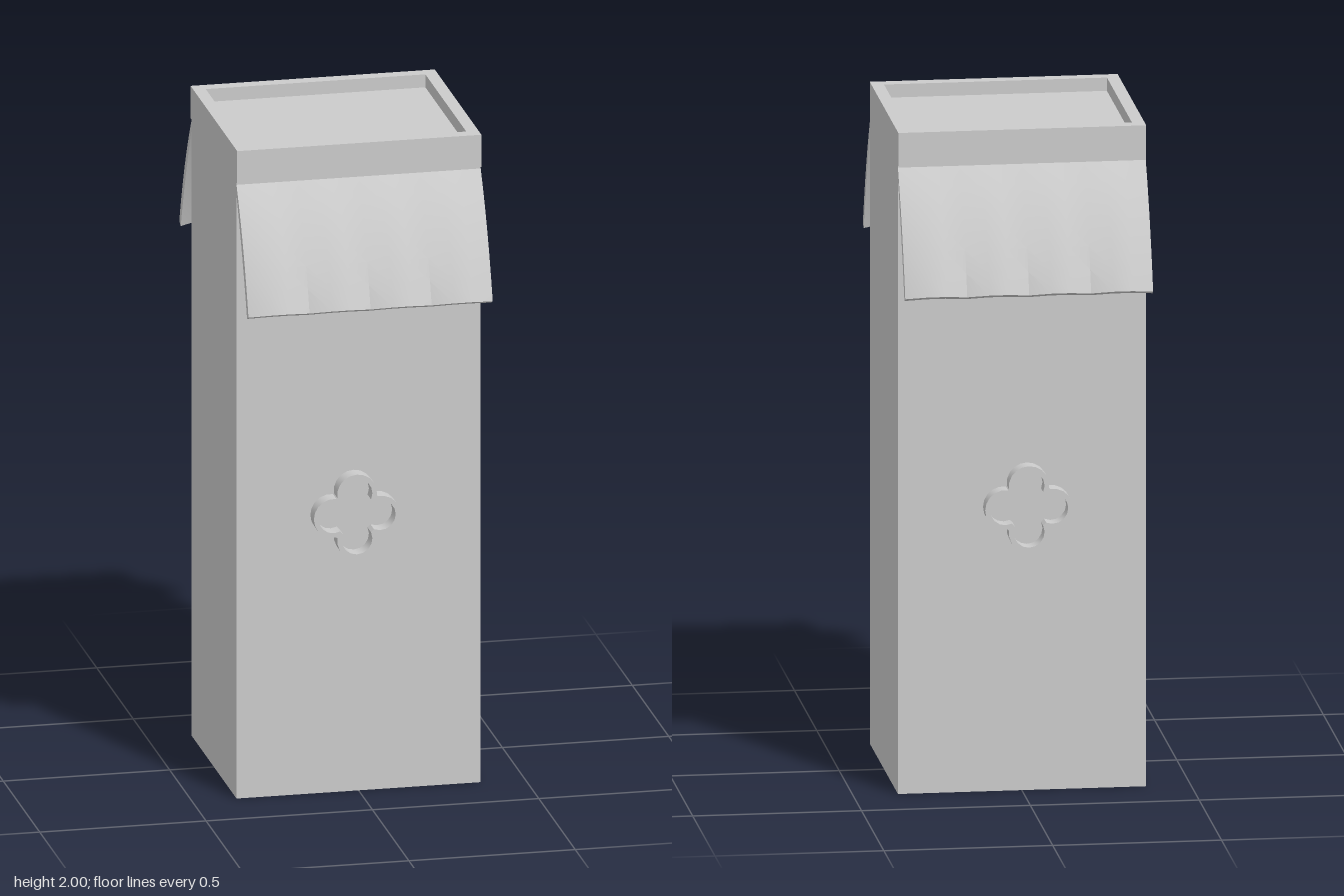
import * as THREE from 'three';
import { toCreasedNormals } from 'three/addons/utils/BufferGeometryUtils.js';

const W = 0.367, D = 0.31, RIM_D = 0.32, RIM_Y = 1.9;
const material = new THREE.MeshStandardMaterial({ color: 0xcccccc, side: THREE.DoubleSide });

function part(name, geometry) {
  const mesh = new THREE.Mesh(geometry, material);
  mesh.name = name;
  return mesh;
}

function rectangle(Type, x, y) {
  return new Type([[-x, -y], [x, -y], [x, y], [-x, y]].map((p) => new THREE.Vector2(...p)));
}

// Four thin walls, open at the bottom
function wallsGeometry() {
  const g = new THREE.CylinderGeometry(Math.SQRT2, Math.SQRT2, RIM_Y, 4, 1, true);
  g.rotateY(Math.PI / 4).scale(W, 1, D).translate(0, RIM_Y / 2, 0);
  const flat = g.toNonIndexed();
  flat.computeVertexNormals();
  return flat;
}

// Raised frame around the sunken top
function rimGeometry() {
  const shape = rectangle(THREE.Shape, W, RIM_D);
  shape.holes.push(rectangle(THREE.Path, 0.33, 0.28));
  return new THREE.ExtrudeGeometry(shape, { depth: 2 - RIM_Y, bevelEnabled: false })
    .rotateX(-Math.PI / 2).translate(0, RIM_Y, 0);
}

// Scalloped sheet: closed cross-sections swept across the width
function awningGeometry() {
  const rows = 6, scallops = 4, steps = [[0, 0], [0.35, 1], [0.65, 1]];
  const columns = [];
  for (let s = 0; s < scallops; s++) {
    for (const [f, bump] of steps) columns.push([-W + (2 * W * (s + f)) / scallops, bump]);
  }
  columns.push([W, 0]);
  const outer = new THREE.QuadraticBezierCurve(
    new THREE.Vector2(0.31, 1.893), new THREE.Vector2(0.41, 1.74), new THREE.Vector2(0.475, 1.535));
  const inner = new THREE.QuadraticBezierCurve(
    new THREE.Vector2(0.308, 1.865), new THREE.Vector2(0.39, 1.71), new THREE.Vector2(0.455, 1.525));
  const positions = [], index = [], n = 2 * (rows + 1);
  for (const [x, bump] of columns) {
    for (let j = 0; j < n; j++) {
      const isOuter = j <= rows;
      const t = (isOuter ? j : n - 1 - j) / rows;
      const p = (isOuter ? outer : inner).getPoint(t);
      positions.push(x, p.y + 0.008 * bump * t, p.x + 0.02 * bump * t);
    }
  }
  for (let i = 0; i < columns.length - 1; i++) {
    for (let j = 0; j < n; j++) {
      const k = (j + 1) % n;
      const a = i * n + j, b = i * n + k, c = a + n, d = b + n;
      index.push(a, b, d, a, d, c);
    }
  }
  // End caps
  const last = (columns.length - 1) * n;
  for (let j = 0; j < rows; j++) {
    const a = j, b = j + 1, c = n - 2 - j, d = n - 1 - j;
    index.push(a, c, b, a, d, c);
    index.push(last + a, last + b, last + c, last + a, last + c, last + d);
  }
  const g = new THREE.BufferGeometry();
  g.setAttribute('position', new THREE.Float32BufferAttribute(positions, 3));
  g.setIndex(index);
  return toCreasedNormals(g, 0.5);
}

// Four-lobed outline
function quatrefoil(Type, radius, sweep) {
  const points = [], offset = 0.07, segments = 10;
  for (let lobe = 0; lobe < 4; lobe++) {
    const turn = (lobe * Math.PI) / 2;
    for (let i = 0; i <= segments; i++) {
      const a = turn + sweep * ((2 * i) / segments - 1);
      points.push(new THREE.Vector2(
        offset * Math.cos(turn) + radius * Math.cos(a),
        offset * Math.sin(turn) + radius * Math.sin(a)));
    }
  }
  return new Type(points);
}

function ornamentGeometry() {
  const shape = quatrefoil(THREE.Shape, 0.06, 1.7);
  shape.holes.push(quatrefoil(THREE.Path, 0.046, 2.0));
  const g = new THREE.ExtrudeGeometry(shape, { depth: 0.048, bevelEnabled: false });
  return toCreasedNormals(g, 0.5);
}

export function createModel() {
  const group = new THREE.Group();
  group.name = 'stallTower';

  group.add(part('walls', wallsGeometry()));
  group.add(part('topRim', rimGeometry()));
  const floor = part('sunkenTop', new THREE.PlaneGeometry(0.66, 0.56).rotateX(-Math.PI / 2));
  floor.position.y = 1.96;
  group.add(floor);

  // Awning and ornament on both front and back
  const awning = awningGeometry(), ornament = ornamentGeometry();
  for (const [side, sign] of [['front', 1], ['back', -1]]) {
    const turn = sign > 0 ? 0 : Math.PI;
    const canopy = part(side + 'Awning', awning);
    canopy.rotation.y = turn;
    const ring = part(side + 'Ornament', ornament);
    ring.rotation.y = turn;
    ring.position.set(-0.015, 0.86, sign * D);
    group.add(canopy, ring);
  }
  return group;
}
